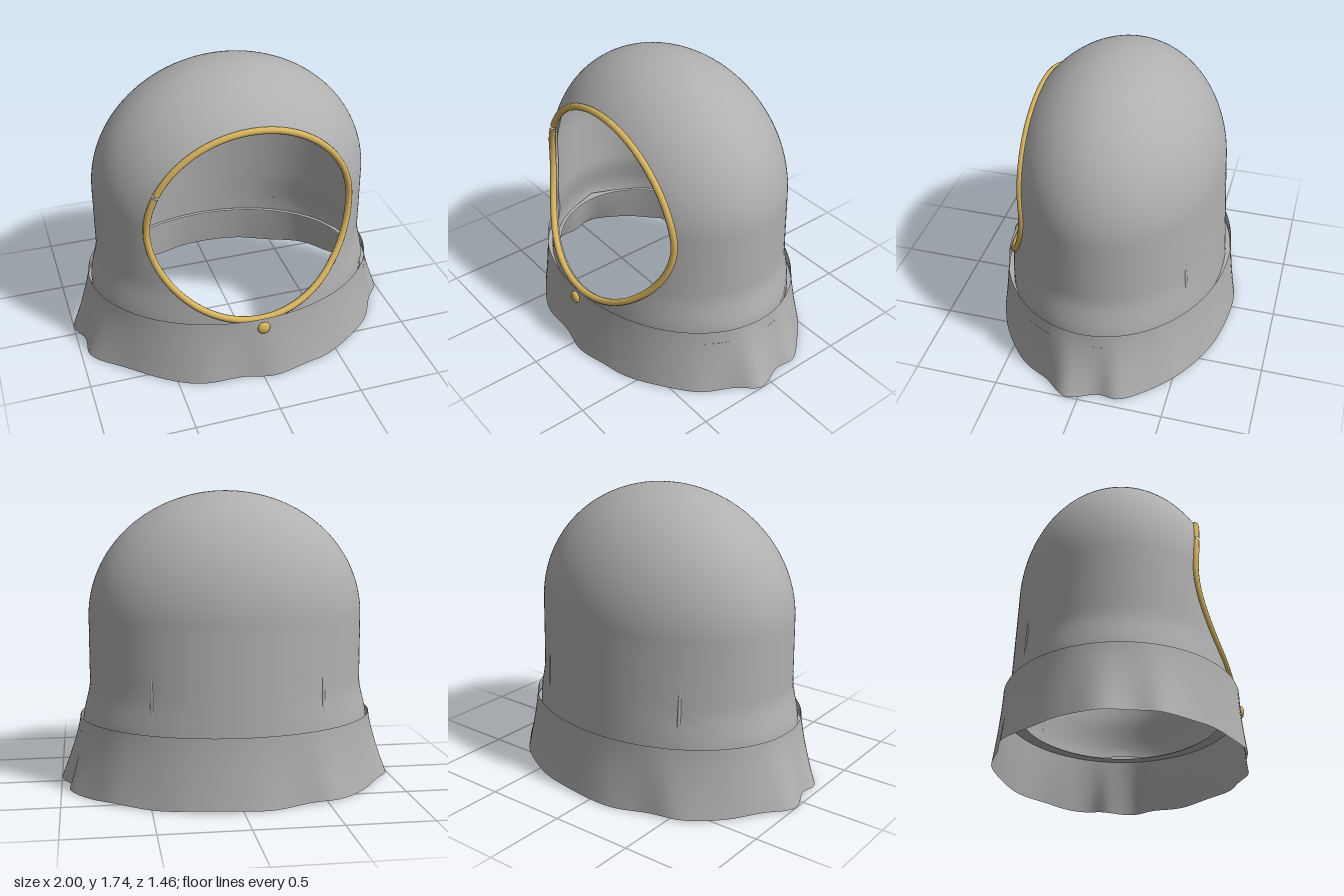
import * as THREE from 'three';
import { mergeVertices } from 'three/addons/utils/BufferGeometryUtils.js';

const TAU = Math.PI * 2;
const HOLE = { y: 0.95, rx: 0.605, ry: 0.56 };
const HEM = 0.33; // lower edge of the hood, tucked into the collar

// Smooth surface from a rule fn(u, v) -> [x, y, z], u and v in 0..1
function grid(nu, nv, fn) {
  const pos = [], index = [];
  for (let j = 0; j <= nv; j++)
    for (let i = 0; i <= nu; i++) pos.push(...fn(i / nu, j / nv));
  for (let j = 0; j < nv; j++)
    for (let i = 0; i < nu; i++) {
      const a = j * (nu + 1) + i, b = a + 1, c = a + nu + 1, d = c + 1;
      index.push(a, c, b, b, c, d);
    }
  return { pos, index };
}

function build(...grids) {
  const pos = [], index = [];
  for (const g of grids) {
    const base = pos.length / 3;
    for (const p of g.pos) pos.push(p);
    for (const i of g.index) index.push(i + base);
  }
  let geo = new THREE.BufferGeometry();
  geo.setAttribute('position', new THREE.Float32BufferAttribute(pos, 3));
  geo.setIndex(index);
  geo = mergeVertices(geo, 1e-4);
  geo.computeVertexNormals();
  return geo;
}

// Hood cross-section: half width and half depth at height y, inset by d
function section(y, d) {
  const h = Math.max(0, (y - 1) / (0.74 - d));
  const k = Math.sqrt(Math.max(0, 1 - h * h));
  const flare = THREE.MathUtils.smoothstep(0.62 - y, 0, 0.25);
  return [(0.82 + 0.045 * flare - d) * k, (0.62 + 0.05 * Math.max(0, 1 - y) - d) * k];
}

function depth(x, y, d) {
  const [a, c] = section(y, d);
  return a < 1e-6 ? 0 : c * Math.sqrt(Math.max(0, 1 - (x / a) ** 2));
}

const ray = (u, s) => [HOLE.rx * Math.cos(u * TAU) * s, HOLE.y + HOLE.ry * Math.sin(u * TAU) * s];

// How far a ray from the face centre reaches before leaving the silhouette
function reach(u, d) {
  let lo = 0.9, hi = 3;
  for (let i = 0; i < 45; i++) {
    const mid = (lo + hi) / 2, [x, y] = ray(u, mid);
    if (y > HEM && Math.abs(x) < section(y, d)[0]) lo = mid; else hi = mid;
  }
  return lo;
}

// Half of the hood: rays spread from the opening (or centre) to the silhouette
function half(side, start, d) {
  return grid(144, 30, (u, v) => {
    const dir = side > 0 ? 1 - u : u;
    const s = start + (reach(dir, d) - start) * Math.sin(v * Math.PI / 2);
    const [x, y] = ray(dir, s);
    return [x, y, side * depth(x, y, d)];
  });
}

export function createModel() {
  const group = new THREE.Group();
  const cloth = new THREE.MeshStandardMaterial({ color: 0xb0b0b0, side: THREE.DoubleSide });
  cloth.name = 'grey cloth';
  const gold = new THREE.MeshStandardMaterial({ color: 0xd6b460 });
  gold.name = 'gold trim';
  const add = (name, geo, mat) => {
    const mesh = new THREE.Mesh(geo, mat);
    mesh.name = name;
    group.add(mesh);
    return mesh;
  };

  // Hood shell with lining and the edge of the face opening
  const thick = 0.03;
  add('hood', build(half(1, 1, 0), half(-1, 0, 0)), cloth);
  add('hoodLining', build(half(1, 1, thick), half(-1, 0, thick)), cloth);
  add('openingEdge', build(grid(144, 1, (u, v) => {
    const [x, y] = ray(u, 1);
    return [x, y, depth(x, y, v * thick)];
  })), cloth);

  // Flat hem closing the bottom of the hood against the collar
  const oval = (u, rx, y, rz) => [rx * Math.cos(u * TAU), y, rz * Math.sin(u * TAU)];
  add('hoodHem', build(grid(96, 1, (u, v) =>
    oval(u, 0.81 + 0.08 * v, HEM, 0.6 + 0.085 * v))), cloth);

  // Small pleats at the lower back
  for (const side of [-1, 1]) {
    const pleat = add(side > 0 ? 'leftPleat' : 'rightPleat', new THREE.SphereGeometry(1, 16, 16), cloth);
    pleat.scale.set(0.012, 0.22, 0.018);
    pleat.position.set(side * 0.485, 0.58, -0.505);
    pleat.rotation.x = 0.05;
  }

  // Collar flaring from a neat oval to a rippled lower edge
  const ripple = [
    [1, 0.08], [0.9, 0.22], [0.79, 0.4], [0.6, 0.56], [0.42, 0.65], [0.3, 0.69], [0.08, 0.73],
    [-0.1, 0.7], [-0.35, 0.68], [-0.6, 0.55], [-0.78, 0.4], [-0.95, 0.22], [-0.95, 0.08],
    [-1, -0.08], [-0.9, -0.25], [-0.78, -0.41], [-0.55, -0.61], [-0.35, -0.66], [-0.1, -0.73],
    [0.28, -0.7], [0.5, -0.62], [0.7, -0.51], [0.83, -0.38], [0.95, -0.22], [0.94, -0.1],
  ];
  const edge = new THREE.CatmullRomCurve3(
    ripple.map(([x, z]) => new THREE.Vector3(x, 0, z)), true, 'centripetal');
  add('collar', build(grid(150, 12, (u, v) => {
    const p = edge.getPoint(u % 1);
    const angle = Math.atan2(p.z / 0.73, p.x);
    const f = v ** 1.3;
    return [
      THREE.MathUtils.lerp(0.88 * Math.cos(angle), p.x, f),
      0.41 * (1 - v) + 0.006 * v * (1 + Math.sin(u * TAU * 11)),
      THREE.MathUtils.lerp(0.685 * Math.sin(angle), p.z, f),
    ];
  }).valueOf()), cloth);

  // Gold piping around the face, with a small joint on the right
  const joint = 0.43;
  const path = [];
  for (let i = 0; i <= 96; i++) {
    const [x, y] = ray(joint + 0.002 + 0.996 * i / 96, 1);
    path.push(new THREE.Vector3(x, y, depth(x, y, 0)));
  }
  add('facePiping', new THREE.TubeGeometry(new THREE.CatmullRomCurve3(path), 192, 0.02, 10), gold);

  // Front button
  const button = add('button', new THREE.SphereGeometry(0.038, 24, 16), gold);
  button.scale.z = 0.55;
  button.position.set(0, 0.35, 0.693);

  return group;
}
